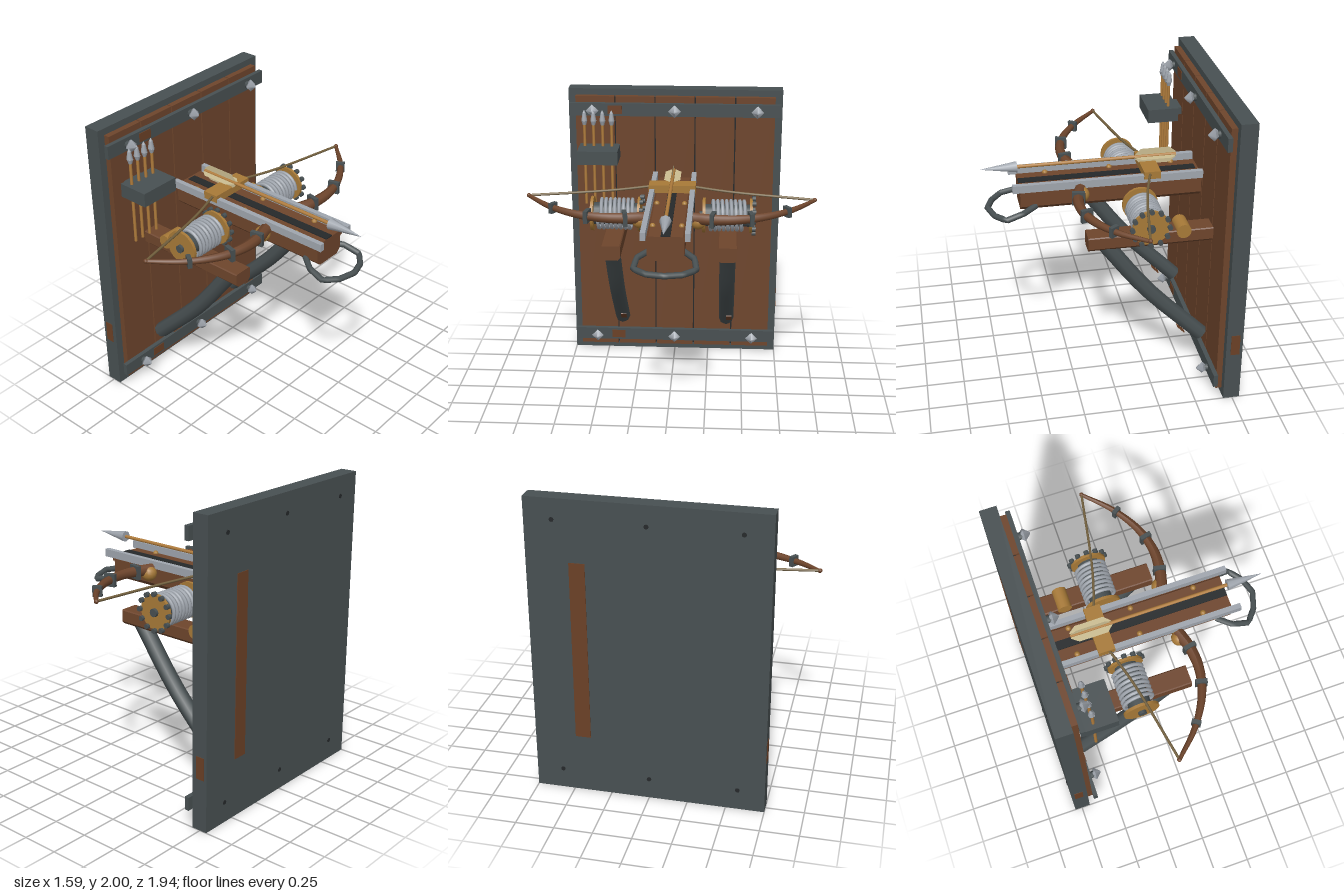
import * as THREE from 'three';

const mat = (name, color, side = THREE.FrontSide) => {
  const m = new THREE.MeshStandardMaterial({ color, side });
  m.name = name;
  return m;
};

export function createModel() {
  const iron = mat('dark iron', 0x485052);
  const wood = mat('brown wood', 0x6e452c);
  const brass = mat('brass', 0xa87a38);
  const steel = mat('light steel', 0xa0a6ae);
  const shaftWood = mat('arrow shaft', 0xb07c3c);
  const feather = mat('feather', 0xcbbd92, THREE.DoubleSide);
  const rust = mat('rust', 0x6b4026);
  const cord = mat('cord', 0x75623f);
  const black = mat('groove black', 0x25282a);

  const model = new THREE.Group();
  model.name = 'wallBallista';
  const V = (x, y, z) => new THREE.Vector3(x, y, z);
  const add = (name, geo, material, x = 0, y = 0, z = 0, parent = model) => {
    const m = new THREE.Mesh(geo, material);
    m.name = name;
    m.position.set(x, y, z);
    parent.add(m);
    return m;
  };
  // box given by its limits on each axis
  const box = (name, material, x0, x1, y0, y1, z0, z1, parent = model) =>
    add(name, new THREE.BoxGeometry(x1 - x0, y1 - y0, z1 - z0), material,
      (x0 + x1) / 2, (y0 + y1) / 2, (z0 + z1) / 2, parent);
  // cylinders and cones along a chosen axis
  const cyl = (axis, r0, r1, len, sides = 12) => {
    const g = new THREE.CylinderGeometry(r1, r0, len, sides);
    if (axis === 'x') g.rotateZ(-Math.PI / 2);
    if (axis === 'z') g.rotateX(Math.PI / 2);
    return g;
  };
  // timber running along x, with chamfered edges
  const timber = (name, x0, x1, y0, y1, zc, w, c) => {
    const h = w / 2, s = new THREE.Shape();
    [[-h + c, y0], [h - c, y0], [h, y0 + c], [h, y1 - c / 3], [h - c / 3, y1],
      [-h + c / 3, y1], [-h, y1 - c / 3], [-h, y0 + c]]
      .forEach(([a, b], i) => (i ? s.lineTo(a, b) : s.moveTo(a, b)));
    const g = new THREE.ExtrudeGeometry(s, { depth: x1 - x0, bevelEnabled: false });
    g.rotateY(Math.PI / 2);
    return add(name, g, wood, x0, 0, zc);
  };
  // tube whose radius shrinks from 1 to the given end scale
  const taperTube = (pts, r, endScale, segs, sides) => {
    const curve = new THREE.CatmullRomCurve3(pts);
    const g = new THREE.TubeGeometry(curve, segs, r, sides);
    const p = g.attributes.position, v = V(0, 0, 0);
    for (let i = 0; i < p.count; i++) {
      const u = Math.floor(i / (sides + 1)) / segs;
      const c = curve.getPointAt(u);
      v.fromBufferAttribute(p, i).sub(c).multiplyScalar(1 + (endScale - 1) * u).add(c);
      p.setXYZ(i, v.x, v.y, v.z);
    }
    g.computeVertexNormals();
    return g;
  };

  // wall plate, planks and straps
  box('wallPlate', iron, -0.8, -0.69, 0, 2, -0.75, 0.75);
  box('plankGaps', black, -0.69, -0.672, 0.055, 1.945, -0.69, 0.69);
  for (let i = 0; i < 5; i++) {
    const z = (i - 2) * 0.281;
    box('plank', wood, -0.69, -0.65, 0.05, 1.955, z - 0.136, z + 0.136);
  }
  for (const y of [0.14, 1.867]) {
    box('strap', iron, -0.65, -0.62, y - 0.045, y + 0.045, -0.74, 0.74);
    box('strapRust', rust, -0.621, -0.616, y - 0.03, y + 0.03, 0.37, 0.47);
    for (const z of [-0.575, 0, 0.575]) {
      add('boltShank', cyl('x', 0.025, 0.025, 0.04, 8), iron, -0.605, y, z);
      add('boltHeadBase', cyl('x', 0.028, 0.045, 0.018, 4), steel, -0.594, y, z);
      add('boltHead', cyl('x', 0.045, 0.006, 0.04, 4), steel, -0.565, y, z);
      add('boltBackEnd', cyl('x', 0.015, 0.015, 0.01, 8), black, -0.799, y, z);
    }
  }
  box('backRust', rust, -0.804, -0.799, 0.4, 1.6, -0.48, -0.38);
  for (const s of [-1, 1]) {
    const z = s * 0.751;
    box('sideRust', rust, -0.78, -0.72, 0.35, 0.5, z - 0.002, z + 0.002);
  }

  // stock with groove, rails and studs
  timber('stock', -0.65, 0.55, 1.21, 1.37, 0, 0.235, 0.03);
  box('groove', black, -0.63, 0.55, 1.365, 1.376, -0.03, 0.03);
  for (const s of [-1, 1]) {
    box('rail', steel, -0.65, 0.6, 1.36, 1.412, s * 0.138 - 0.017, s * 0.138 + 0.017);
    box('railSeat', wood, -0.65, 0.55, 1.335, 1.36, s * 0.118 - 0.015, s * 0.118 + 0.015);
    for (const x of [-0.49, -0.07, 0.36])
      add('stud', new THREE.SphereGeometry(0.019, 10, 6), brass, x, 1.372, s * 0.092);
  }
  box('stringCatch', brass, -0.365, -0.255, 1.385, 1.437, -0.16, 0.16);

  // loaded bolt
  add('boltShaft', cyl('x', 0.012, 0.012, 1.06, 8), shaftWood, 0.03, 1.475, 0);
  add('boltPoint', cyl('x', 0.038, 0.001, 0.235, 8), steel, 0.67, 1.475, 0);
  const vane = new THREE.Shape();
  [[-0.5, 0.02], [-0.455, 0.055], [-0.265, 0.055], [-0.225, 0.015],
    [-0.225, -0.015], [-0.265, -0.055], [-0.455, -0.055], [-0.5, -0.02]]
    .forEach(([a, b], i) => (i ? vane.lineTo(a, b) : vane.moveTo(a, b)));
  for (const a of [0, Math.PI / 2])
    add('fletching', new THREE.ShapeGeometry(vane), feather, 0, 1.475, 0).rotation.x = a;

  // front loop
  const loop = [[0.45, 1.238, 0.11], [0.54, 1.225, 0.18], [0.65, 1.195, 0.195],
    [0.72, 1.19, 0.11], [0.755, 1.195, 0]];
  const loopPath = new THREE.CurvePath();
  const loopPts = [...loop.map(p => V(...p)),
    ...loop.slice(0, 4).reverse().map(([x, y, z]) => V(x, y, -z))];
  for (let i = 1; i < loopPts.length; i++)
    loopPath.add(new THREE.LineCurve3(loopPts[i - 1], loopPts[i]));
  add('frontLoop', new THREE.TubeGeometry(loopPath, 32, 0.02, 8), iron);

  for (const s of [-1, 1]) {
    const zc = s * 0.385;
    // side arm, roller and brace
    timber('sideArm', -0.65, 0.165, 1.05, 1.15, zc, 0.13, 0.02);
    add('armRoller', cyl('z', 0.048, 0.048, 0.145, 16), brass, -0.455, 1.145, zc);
    const brace = new THREE.CatmullRomCurve3(
      [V(-0.615, 0.295, zc), V(-0.235, 0.69, zc), V(0.05, 1.07, zc)]);
    add('brace', new THREE.TubeGeometry(brace, 8, 0.054, 8), iron);
    for (const [u, flip] of [[0, 1], [1, -1]]) {
      const cap = add('braceCap', new THREE.CircleGeometry(0.054, 8), iron);
      cap.position.copy(brace.getPointAt(u));
      cap.lookAt(cap.position.clone().addScaledVector(brace.getTangentAt(u), -flip));
    }
    const patch = add('braceRust', new THREE.BoxGeometry(0.07, 0.006, 0.04), rust,
      -0.47, 0.36, zc - 0.02);
    patch.rotation.z = 0.81;

    // torsion drum
    const drum = new THREE.Group();
    drum.name = 'torsionDrum';
    drum.position.set(-0.215, 1.245, s * 0.38);
    model.add(drum);
    add('axle', cyl('z', 0.027, 0.027, 0.38), iron, 0, 0, 0, drum);
    add('drumCore', cyl('z', 0.075, 0.075, 0.3, 16), iron, 0, 0, 0, drum);
    for (const z of [-0.16, 0.16])
      add('drumDisc', cyl('z', 0.118, 0.118, 0.02, 20), brass, 0, 0, z, drum);
    for (let i = 0; i < 12; i++) {
      const a = (i / 12) * Math.PI * 2;
      add('drumPeg', cyl('z', 0.017, 0.017, 0.025, 8), iron,
        Math.cos(a) * 0.12, Math.sin(a) * 0.12, -0.178, drum);
    }
    const coil = [];
    for (let i = 0; i <= 128; i++) {
      const a = (i / 16) * Math.PI * 2;
      coil.push(V(Math.cos(a) * 0.1, Math.sin(a) * 0.1, -0.12 + 0.24 * i / 128));
    }
    add('coil', new THREE.TubeGeometry(new THREE.CatmullRomCurve3(coil), 192, 0.0125, 6),
      steel, 0, 0, 0, drum);

    // bow limb, root joint and bands
    const limb = [[0.165, 1.355, 0.16], [0.2, 1.36, 0.28], [0.208, 1.365, 0.43],
      [0.165, 1.37, 0.6], [0.05, 1.38, 0.79], [-0.115, 1.397, 0.957]];
    add('bowLimb', taperTube(limb.map(([x, y, z]) => V(x, y, s * z)), 0.041, 0.3, 20, 8), wood);
    add('limbJoint', new THREE.SphereGeometry(0.052, 14, 10), brass, 0.163, 1.335, s * 0.19);
    for (const [x, y, z, a, size] of [[0.198, 1.36, 0.285, -0.2, 0.084],
      [0.187, 1.367, 0.53, 0.25, 0.076], [0.065, 1.378, 0.768, 0.6, 0.06]]) {
      const g = new THREE.BoxGeometry(size, size + 0.008, 0.028);
      add('limbBand', g, iron, x, y, s * z).rotation.y = -s * a;
    }
    add('limbTip', new THREE.SphereGeometry(0.015, 8, 6), wood, -0.115, 1.4, s * 0.957);

    // bowstring
    const string = new THREE.CatmullRomCurve3([V(-0.115, 1.4, s * 0.955),
      V(-0.222, 1.41, s * 0.4), V(-0.305, 1.42, s * 0.12)]);
    add('bowstring', new THREE.TubeGeometry(string, 12, 0.009, 6), cord);
  }

  // spare arrows in a wall rack
  box('arrowRack', iron, -0.61, -0.4, 1.53, 1.625, 0.385, 0.665);
  box('rackArm', iron, -0.65, -0.605, 1.55, 1.6, 0.45, 0.6);
  for (const z of [0.437, 0.5, 0.563, 0.626]) {
    add('spareShaft', cyl('y', 0.01, 0.01, 0.6, 8), shaftWood, -0.55, 1.5, z);
    add('spareTipBase', cyl('y', 0.012, 0.021, 0.03, 8), steel, -0.55, 1.79, z);
    add('spareTip', cyl('y', 0.021, 0.012, 0.055, 8), steel, -0.552, 1.832, z);
    add('sparePoint', cyl('y', 0.012, 0.002, 0.02, 8), steel, -0.552, 1.868, z);
  }
  return model;
}
